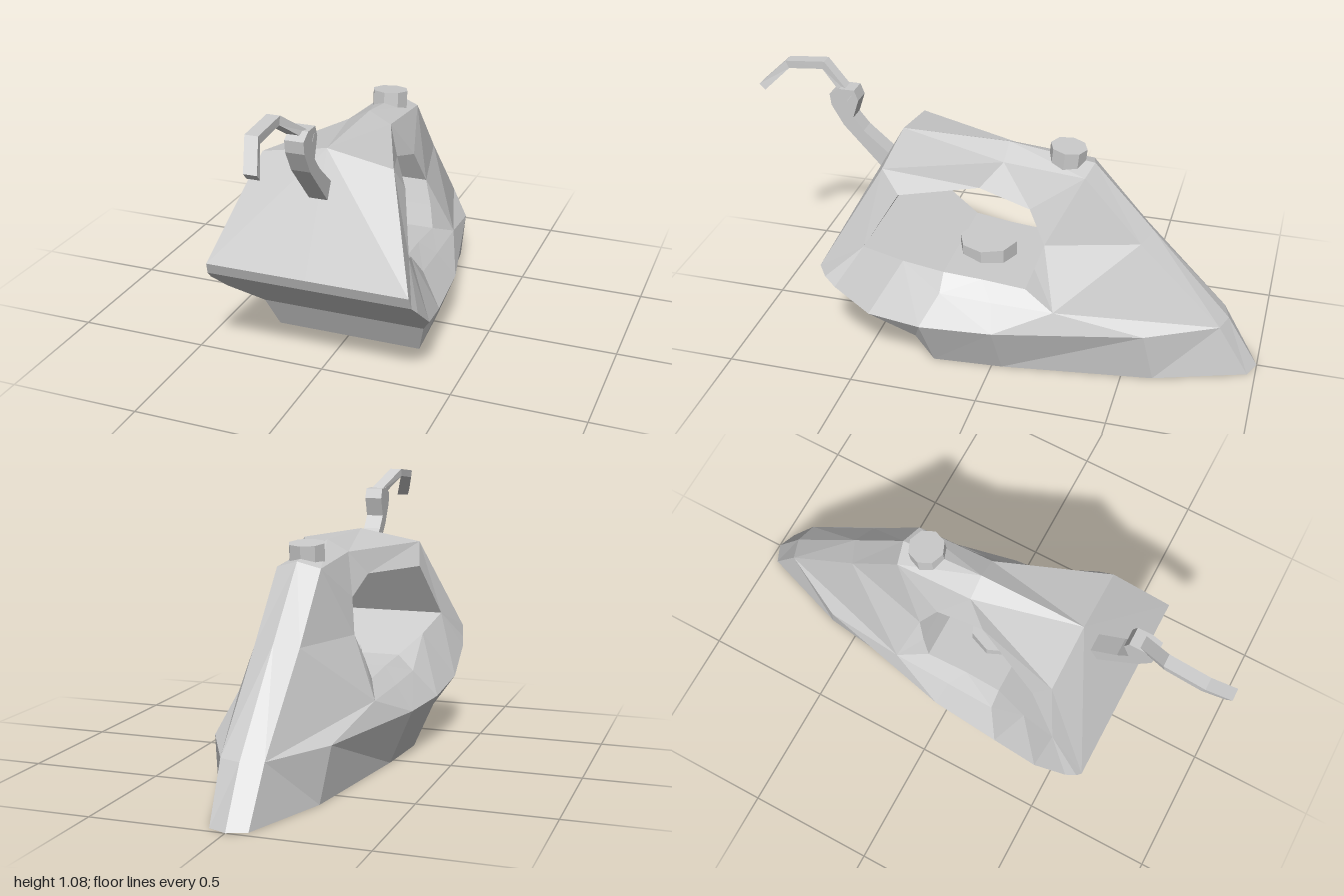
import * as THREE from 'three';

const material = new THREE.MeshStandardMaterial({ color: 0xcccccc, flatShading: true });

// Joins neighbouring closed rings of points with flat triangles, splitting each quad on its shorter diagonal.
function loft(rings, mirrored = false) {
  const pos = [];
  const v = (p) => new THREE.Vector3(...p);
  const tri = (a, b, c) => {
    const area = new THREE.Vector3().crossVectors(b.clone().sub(a), c.clone().sub(a)).length();
    if (area < 1e-6) return;
    pos.push(...a, ...b, ...c);
    if (mirrored) for (const p of [a, c, b]) pos.push(-p.x, p.y, p.z);
  };
  for (let r = 0; r < rings.length - 1; r++) {
    const n = rings[r].length;
    for (let i = 0; i < n; i++) {
      const j = (i + 1) % n;
      const a = v(rings[r][i]), b = v(rings[r][j]);
      const c = v(rings[r + 1][j]), d = v(rings[r + 1][i]);
      if (a.distanceTo(c) <= b.distanceTo(d)) { tri(a, b, c); tri(a, c, d); }
      else { tri(a, b, d); tri(b, c, d); }
    }
  }
  const g = new THREE.BufferGeometry();
  g.setAttribute('position', new THREE.Float32BufferAttribute(pos, 3));
  g.computeVertexNormals();
  return g;
}

function add(group, name, geometry) {
  const mesh = new THREE.Mesh(geometry, material);
  mesh.name = name;
  group.add(mesh);
  return mesh;
}

// Half body: rings run from the handle opening outwards, each starting at
// the top rear corner, over the nose, along the sole and up the rear.
function bodyGeometry() {
  const opening = [
    [0.27, 0.713, 0.355], [0.14, 0.713, 0.08], [0.14, 0.65, -0.115], [0.17, 0.52, -0.18],
    [0.2, 0.43, -0.15], [0.2, 0.43, -0.15], [0.22, 0.345, -0.12], [0.22, 0.36, 0.05],
    [0.23, 0.375, 0.2], [0.29, 0.44, 0.34], [0.33, 0.505, 0.48], [0.33, 0.505, 0.48],
    [0.33, 0.505, 0.48], [0.33, 0.505, 0.48],
  ];
  // sill below the opening
  const sill = opening.slice();
  sill[4] = sill[5] = sill[6] = [0.27, 0.29, -0.24];
  sill[7] = [0.28, 0.3, 0];
  sill[8] = [0.29, 0.315, 0.2];
  // shoulder line and top of the sole skirt
  const shoulder = [
    [0.25, 0.805, 0.42], [0.085, 0.805, 0], [0.085, 0.78, -0.31], [0.085, 0.53, -0.53],
    [0.08, 0.205, -0.85], [0.08, 0.205, -0.85], [0.22, 0.205, -0.58], [0.35, 0.205, -0.02],
    [0.375, 0.205, 0.26], [0.4, 0.25, 0.45], [0.4, 0.25, 0.45], [0.4, 0.35, 0.58],
    [0.39, 0.385, 0.62], [0.385, 0.43, 0.637],
  ];
  // centre ridge, sole outline and rear edge
  const rim = [
    [0, 0.85, 0.42], [0, 0.85, 0], [0, 0.805, -0.33], [0, 0.547, -0.565],
    [0, 0.204, -0.875], [0.07, 0, -0.97], [0.19, 0, -0.62], [0.27, 0, -0.04],
    [0.29, 0, 0.23], [0.325, 0.125, 0.29], ...shoulder.slice(10),
  ];
  const toCentre = (p) => [0, p[1], p[2]];
  const tunnel = opening.map(toCentre);
  const middle = rim.map(toCentre);
  middle[5] = [0, 0, -1];
  return loft([tunnel, opening, sill, shoulder, rim, middle], true);
}

// Flat side profile in (z, y), extruded across x.
function cordGuardGeometry() {
  const profile = [
    [0.45, 0.69], [0.505, 0.69], [0.65, 0.85], [0.695, 0.93], [0.7, 0.975], [0.66, 1],
    [0.6, 1], [0.585, 0.96], [0.61, 0.885], [0.57, 0.835], [0.46, 0.74],
  ];
  const shape = new THREE.Shape(profile.map(([z, y]) => new THREE.Vector2(-z, y)));
  const g = new THREE.ExtrudeGeometry(shape, { depth: 0.07, bevelEnabled: false });
  return g.translate(0, 0, -0.035).rotateY(Math.PI / 2);
}

// Bent cord with a rectangular section.
function cordGeometry() {
  const path = [[0.012, 0.965, 0.62], [-0.052, 1.06, 0.745], [-0.055, 1.045, 0.895], [-0.015, 0.957, 0.99]];
  const rings = path.map(([x, y, z], i) => {
    const p = path[Math.max(i - 1, 0)], q = path[Math.min(i + 1, path.length - 1)];
    const dy = q[1] - p[1], dz = q[2] - p[2], len = Math.hypot(dy, dz);
    const ny = (dz / len) * 0.016, nz = (-dy / len) * 0.016;
    return [[1, 1], [-1, 1], [-1, -1], [1, -1]].map(([s, t]) => [x + s * 0.024, y + t * ny, z + t * nz]);
  });
  const cap = (p) => Array(4).fill(p);
  return loft([cap(path[0]), ...rings, cap(path[path.length - 1])]);
}

export function createModel() {
  const iron = new THREE.Group();
  iron.name = 'clothesIron';

  add(iron, 'body', bodyGeometry());

  // knob on top of the handle
  const knob = add(iron, 'steamKnob', new THREE.CylinderGeometry(0.07, 0.07, 0.08, 8));
  knob.position.set(0, 0.822, -0.225);
  knob.rotation.x = -0.1;

  // dial on the floor of the opening
  const dial = add(iron, 'temperatureDial', new THREE.CylinderGeometry(0.115, 0.115, 0.06, 8));
  dial.position.set(0, 0.382, 0.085);

  add(iron, 'cordGuard', cordGuardGeometry());
  add(iron, 'cord', cordGeometry());
  return iron;
}
